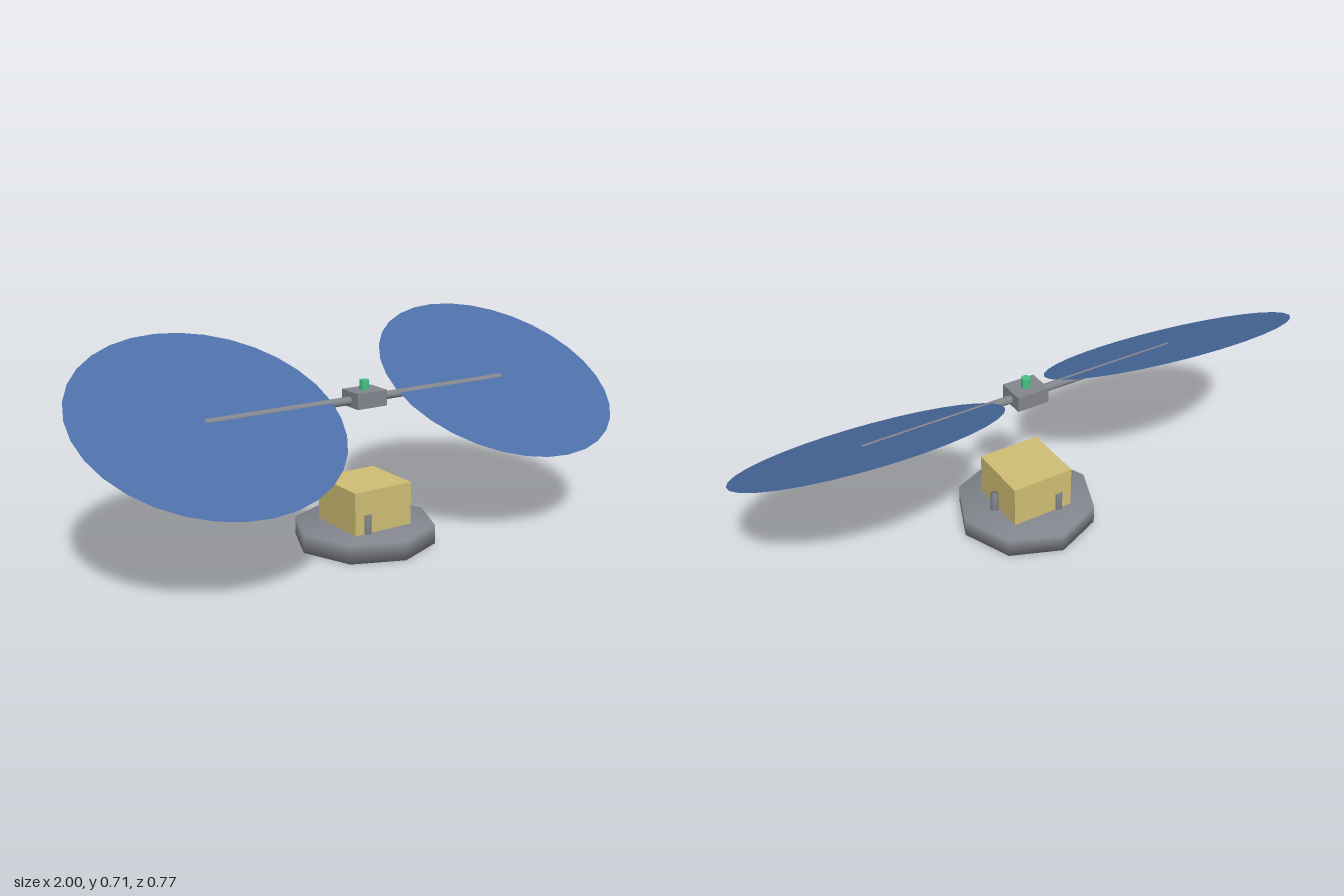
import * as THREE from 'three';
import { mergeVertices } from 'three/addons/utils/BufferGeometryUtils.js';

const material = (name, color, side = THREE.FrontSide) => {
  const m = new THREE.MeshStandardMaterial({ color, side });
  m.name = name;
  return m;
};

// Cylinder whose caps share soft normals with its sides
function softCylinder(radius, height, segments) {
  const g = new THREE.CylinderGeometry(radius, radius, height, segments);
  g.deleteAttribute('normal');
  g.deleteAttribute('uv');
  const soft = mergeVertices(g, 1e-4);
  soft.computeVertexNormals();
  return soft;
}

export function createModel() {
  const group = new THREE.Group();
  const gray = material('metalGray', 0x82858c);
  const yellow = material('foilYellow', 0xcebd73);
  const blue = material('panelBlue', 0x4c6ea5, THREE.DoubleSide);
  const green = material('sensorGreen', 0x43c382);

  const add = (name, geometry, mat, x, y, z) => {
    const mesh = new THREE.Mesh(geometry, mat);
    mesh.name = name;
    mesh.position.set(x, y, z);
    group.add(mesh);
    return mesh;
  };

  // Octagonal base and the body standing on it
  add('base', softCylinder(0.242, 0.065, 8), gray, 0, 0.0325, 0);
  add('body', new THREE.BoxGeometry(0.224, 0.147, 0.224), yellow, 0, 0.1385, 0);

  // Three studs evenly spaced around the body
  for (let i = 0; i < 3; i++) {
    const a = (i * Math.PI * 2) / 3;
    add('stud' + (i + 1), softCylinder(0.0135, 0.067, 12), gray,
      0.126 * Math.cos(a), 0.0965, 0.126 * Math.sin(a));
  }

  // Floating hub with its sensor and cross boom
  add('hub', new THREE.BoxGeometry(0.115, 0.053, 0.096), gray, 0, 0.4965, 0);
  add('sensor', new THREE.CylinderGeometry(0.016, 0.016, 0.034, 16), green, 0, 0.539, 0);
  add('boom', softCylinder(0.014, 1.164, 16), gray, 0, 0.492, 0).rotation.z = Math.PI / 2;

  // Round panels, tilted so the front edge is lower
  for (const side of [-1, 1]) {
    const panel = add(side > 0 ? 'leftPanel' : 'rightPanel',
      new THREE.CircleGeometry(0.434, 32), blue, side * 0.566, 0.503, 0);
    panel.rotation.x = -1.08;
  }
  return group;
}
